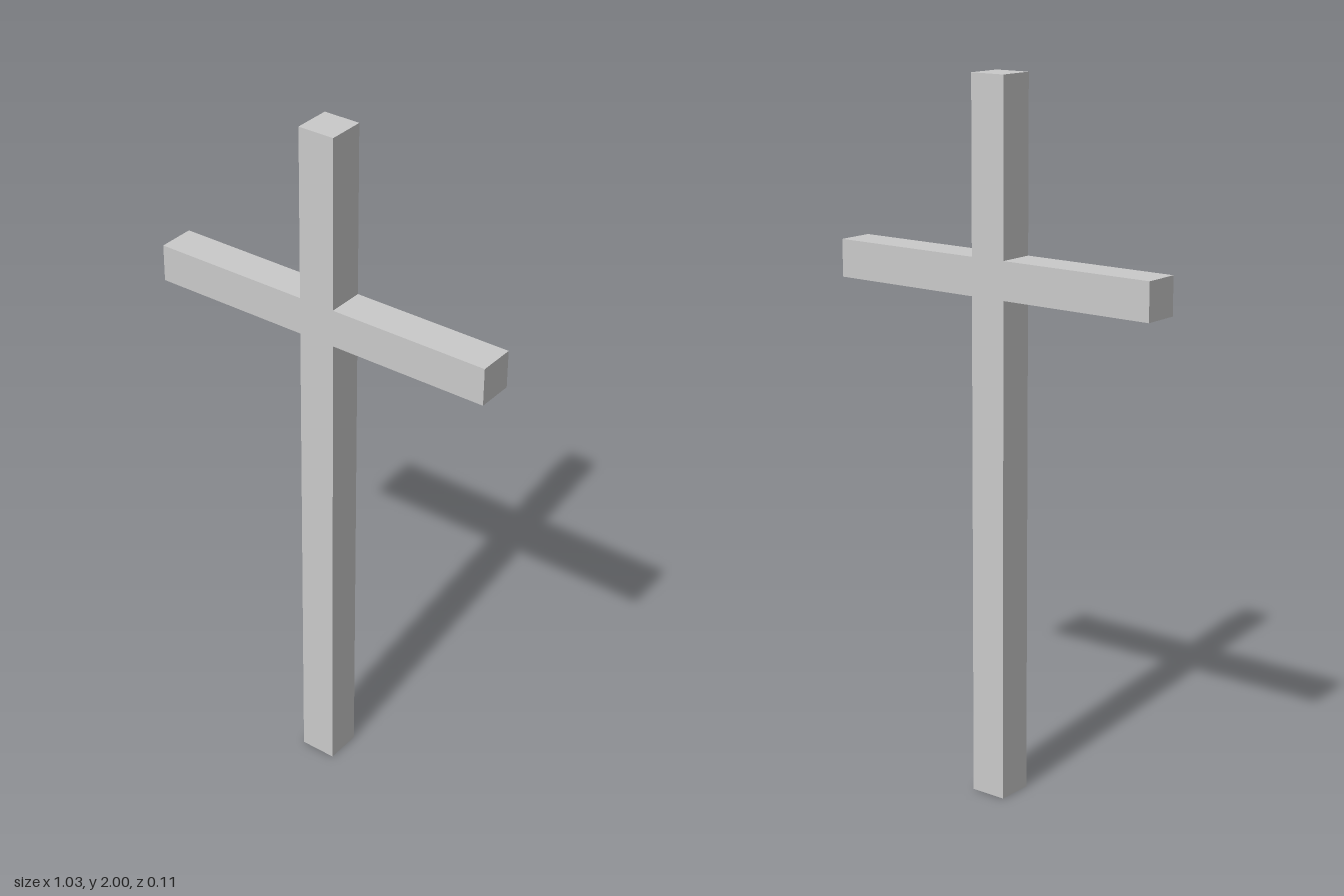
import * as THREE from 'three';

export function createModel() {
  const group = new THREE.Group();
  const half = 0.053;    // half thickness of post and arms
  const reach = 0.515;   // half span of the crossbar
  const height = 2;
  const barBottom = 1.413;
  const barTop = 1.519;

  // Right half of the outline, bottom to top, mirrored for the left half
  const side = [
    [half, 0], [half, barBottom], [reach, barBottom],
    [reach, barTop], [half, barTop], [half, height],
  ];
  const outline = [...side, ...side.map(([x, y]) => [-x, y]).reverse()];
  const shape = new THREE.Shape(outline.map(([x, y]) => new THREE.Vector2(x, y)));

  // Post and crossbar as one solid with flush faces
  const geometry = new THREE.ExtrudeGeometry(shape, { depth: 2 * half, bevelEnabled: false });
  geometry.translate(0, 0, -half);

  const cross = new THREE.Mesh(geometry, new THREE.MeshStandardMaterial({ color: 0xcccccc }));
  cross.name = 'cross';
  group.add(cross);
  return group;
}
